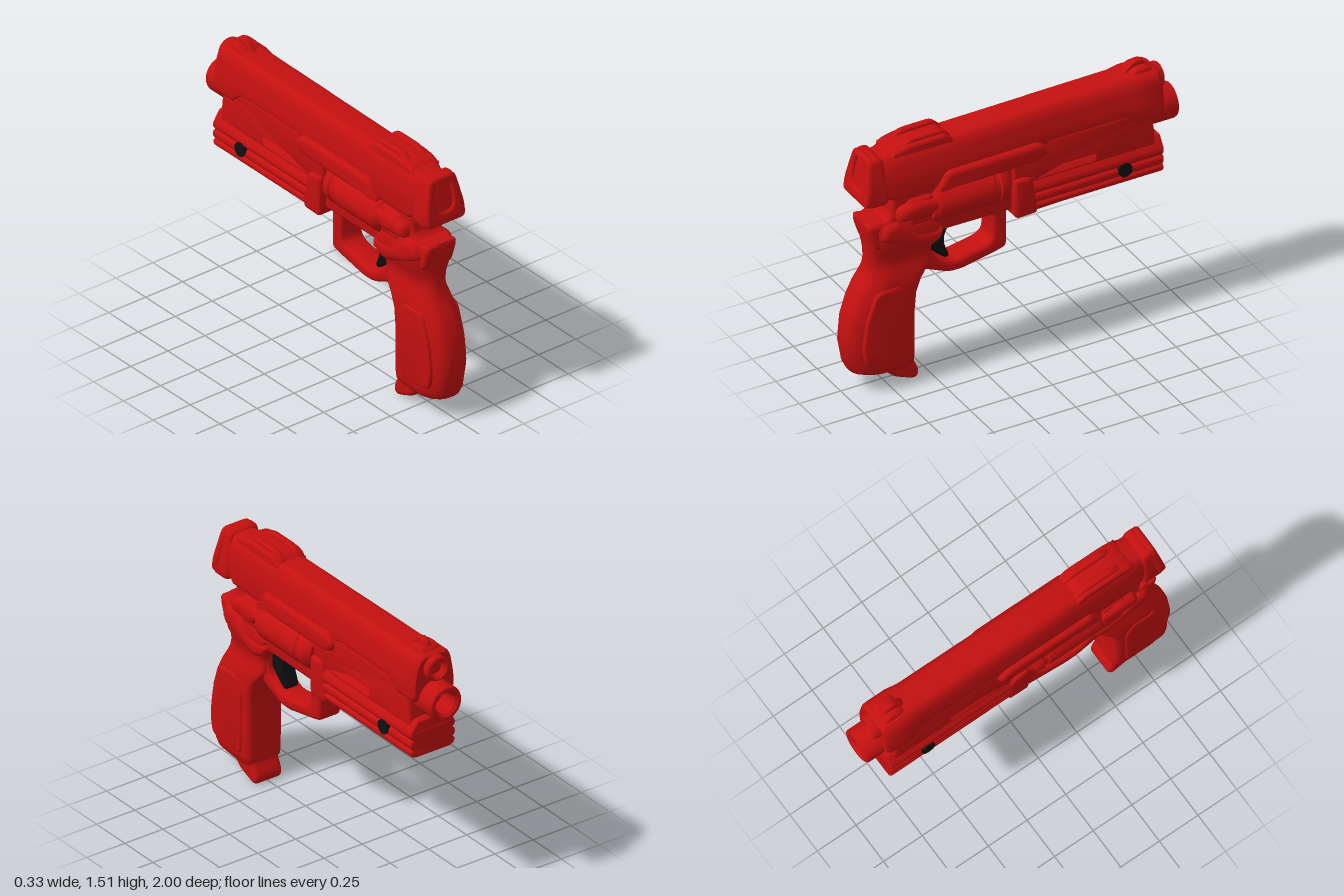
import * as THREE from 'three';
import { toCreasedNormals } from 'three/addons/utils/BufferGeometryUtils.js';

const red = new THREE.MeshStandardMaterial({ color: 0xc41010 });
const black = new THREE.MeshStandardMaterial({ color: 0x101010 });

// Round every corner of a closed polygon; each corner gives n + 1 points
function rounded(pts, r, n = 4) {
  const out = [];
  const P = pts.map(p => new THREE.Vector2(p[0], p[1]));
  P.forEach((p, i) => {
    const toward = q => {
      const d = q.clone().sub(p);
      return p.clone().addScaledVector(d, Math.min(r / d.length(), 0.45));
    };
    const a = toward(P[(i + P.length - 1) % P.length]);
    const b = toward(P[(i + 1) % P.length]);
    out.push(...new THREE.QuadraticBezierCurve(a, p, b).getPoints(n));
  });
  return out;
}

function extrude(pts, depth, bevel, r, hole, holeR = r) {
  const shape = new THREE.Shape(rounded(pts, r));
  if (hole) shape.holes.push(new THREE.Path(rounded(hole, holeR)));
  return new THREE.ExtrudeGeometry(shape, {
    depth: depth - 2 * bevel, bevelEnabled: true, bevelSize: bevel, bevelThickness: bevel,
    bevelOffset: -bevel, bevelSegments: 4,
  }).translate(0, 0, bevel);
}

// Side profile in (z, y), centred across x
function side(pts, half, bevel = 0.025, r = 0.03, hole, holeR) {
  return extrude(pts, half * 2, bevel, r, hole, holeR).translate(0, 0, -half).rotateY(-Math.PI / 2);
}

// Skin rings of equal point count; each station is [z, ring], z rising
function loft(stations) {
  const n = stations[0][1].length, pos = [], idx = [];
  for (const [z, ring] of stations) for (const p of ring) pos.push(p.x, p.y, z);
  for (let i = 0; i < stations.length - 1; i++) for (let j = 0; j < n; j++) {
    const a = i * n + j, b = i * n + (j + 1) % n;
    idx.push(a, b, b + n, a, b + n, a + n);
  }
  [0, stations.length - 1].forEach((s, end) => {
    const [z, ring] = stations[s], c = pos.length / 3, m = new THREE.Vector2();
    ring.forEach(p => m.addScaledVector(p, 1 / n));
    pos.push(m.x, m.y, z);
    for (let j = 0; j < n; j++) {
      const a = s * n + j, b = s * n + (j + 1) % n;
      idx.push(c, ...(end ? [a, b] : [b, a]));
    }
  });
  const g = new THREE.BufferGeometry();
  g.setAttribute('position', new THREE.Float32BufferAttribute(pos, 3));
  g.setIndex(idx);
  return g;
}

// Hollow tube pointing to -z
function tube(r, inner, z0, z1, y, floor) {
  const L = z0 - z1, b = 0.015;
  const p = [[r, 0], [r, L - b], [r - b * 0.3, L - b * 0.3], [r - b, L], [inner + b, L],
    [inner, L - b], [inner * 0.9, floor], [0, floor]].map(q => new THREE.Vector2(...q));
  return new THREE.LatheGeometry(p, 40).rotateX(-Math.PI / 2).translate(0, y, z0);
}

export function createModel() {
  const model = new THREE.Group();
  const add = (name, geo, mat = red) => {
    const m = new THREE.Mesh(toCreasedNormals(geo, 0.65), mat);
    m.name = name;
    model.add(m);
    return m;
  };

  // Slide: [z, half width, bottom, top]
  const slide = [
    [-0.89, 0.125, 1.215, 1.455], [-0.87, 0.138, 1.2, 1.468], [-0.73, 0.138, 1.2, 1.468],
    [-0.66, 0.127, 1.255, 1.46], [-0.2, 0.125, 1.255, 1.457], [-0.13, 0.125, 1.18, 1.455],
    [0.73, 0.125, 1.17, 1.447], [0.76, 0.115, 1.18, 1.435], [0.82, 0.108, 1.19, 1.43],
  ].map(([z, w, b, t]) => [z, rounded([[-w, b], [w, b], [w, 1.3], [w * 0.85, t - 0.05],
    [w * 0.6, t], [-w * 0.6, t], [-w * 0.85, t - 0.05], [-w, 1.3]], 0.03)]);
  add('slide', loft(slide));

  // Sights
  add('frontSightBase', side([[-0.88, 1.42], [-0.7, 1.44], [-0.74, 1.48], [-0.78, 1.495], [-0.85, 1.49]], 0.065, 0.02));
  add('frontSight', side([[-0.86, 1.44], [-0.68, 1.44], [-0.74, 1.5], [-0.78, 1.525], [-0.83, 1.515]], 0.022, 0.01));
  add('rearSightBase', side([[0.35, 1.42], [0.75, 1.42], [0.72, 1.455], [0.64, 1.475], [0.41, 1.478]], 0.095, 0.02));
  for (const s of [-1, 1])
    add('rearSightRail', side([[0.36, 1.44], [0.7, 1.44], [0.64, 1.485], [0.6, 1.498], [0.42, 1.498]], 0.02, 0.012)
      .translate(s * 0.052, 0, 0));

  // Rear block, tapering upward, with a recessed oval on its back
  const block = side([[0.77, 1.19], [0.79, 1.17], [0.9, 1.17], [0.9, 1.23], [0.86, 1.45], [0.79, 1.445]], 0.13);
  const bp = block.attributes.position;
  for (let i = 0; i < bp.count; i++)
    bp.setX(i, bp.getX(i) * (1 - 0.32 * THREE.MathUtils.clamp((bp.getY(i) - 1.26) / 0.19, 0, 1)));
  add('rearBlock', block);
  const plate = add('rearPlate', extrude(
    [[-0.13, 0], [0.13, 0], [0.13, 0.09], [0.088, 0.275], [-0.088, 0.275], [-0.13, 0.09]], 0.05, 0.018, 0.035,
    [[-0.058, 0.07], [0.058, 0.07], [0.052, 0.245], [-0.052, 0.245]], 0.055));
  plate.position.set(0, 1.172, 0.872);
  plate.rotation.x = -0.16;

  // Barrels
  add('upperBarrel', tube(0.073, 0.045, -0.8, -0.93, 1.385, 0.095));
  add('muzzle', tube(0.102, 0.062, -0.78, -1, 1.205, 0.1));

  // Frame core and slotted side plates
  add('frame', side([[0.88, 1.045], [0.79, 1.03], [0.745, 1.07], [0.74, 1.22], [-0.8, 1.27], [-0.83, 1.05],
    [-0.8, 0.95], [0, 0.88], [0.45, 0.885], [0.5, 0.8], [0.84, 0.88], [0.88, 1]], 0.1));
  add('slottedPlate', side([[0.02, 1], [-0.85, 1], [-0.84, 1.08], [-0.82, 1.27], [0.02, 1.27]], 0.125, 0.02, 0.02,
    [[-0.09, 1.03], [-0.5, 1.03], [-0.5, 1.125], [-0.09, 1.125]], 0.04));
  add('slidePanel', side([[0.5, 1.16], [0.48, 1.2], [0.43, 1.275], [-0.13, 1.28], [-0.18, 1.24],
    [-0.17, 1.19], [-0.11, 1.165]], 0.155, 0.03));

  // Drum with end collars
  const drum = [[0, 0], [0.14, 0], [0.16, 0.02], [0.165, 0.04], [0.165, 0.36], [0.155, 0.37], [0.155, 0.39],
    [0.165, 0.4], [0.16, 0.44], [0.13, 0.47], [0, 0.47]].map(p => new THREE.Vector2(...p));
  add('drum', new THREE.LatheGeometry(drum, 48).rotateX(-Math.PI / 2).scale(1, 0.8, 1).translate(0, 1.06, 0.505));

  // Thumb levers and the swept shoulder above the grip
  add('thumbLever', side([[0.73, 1.04], [0.72, 1.12], [0.62, 1.14], [0.47, 1.12], [0.46, 1.07], [0.54, 1.02], [0.62, 1.03]], 0.155, 0.04));
  add('leverPivot', side([[0.66, 1.15], [0.5, 1.15], [0.5, 0.98], [0.66, 0.98]], 0.125, 0.03));
  add('shoulder', side([[0.83, 0.95], [0.76, 0.9], [0.54, 0.82], [0.46, 0.85], [0.43, 0.92], [0.6, 0.95], [0.72, 1.04], [0.8, 1.03]], 0.138, 0.045));

  // Lower rail with three ridges per side
  const half = [[0.11, 0.86], [0.14, 0.872], [0.147, 0.9], [0.128, 0.912], [0.147, 0.925], [0.147, 0.958],
    [0.128, 0.97], [0.147, 0.983], [0.147, 1.01], [0.12, 1.05], [0.1, 1.08]];
  const ridges = [...half, ...half.map(([x, y]) => [-x, y]).reverse()];
  add('lowerRail', extrude(ridges, 0.83, 0.012, 0.012).translate(0, 0, -0.88));
  add('railRearBlock', side([[0.02, 0.845], [0.02, 1.09], [-0.08, 1.08], [-0.1, 1.02], [-0.12, 0.85]], 0.147, 0.02));
  add('railUnderside', side([[0.01, 0.845], [0, 0.92], [-0.87, 0.92], [-0.88, 0.868], [-0.5, 0.86]], 0.125, 0.02));
  add('railFrontRamp', side([[-0.7, 1], [-0.7, 1.09], [-0.8, 1.085], [-0.84, 1.04], [-0.885, 1.02], [-0.88, 0.99]], 0.125, 0.02));
  add('railKnob', new THREE.CylinderGeometry(0.041, 0.041, 0.314, 28).rotateZ(Math.PI / 2).translate(0, 0.955, -0.64), black);

  // Trigger and guard
  add('triggerGuard', side([[0.03, 0.92], [0.03, 0.65], [0.07, 0.635], [0.3, 0.588], [0.38, 0.59], [0.54, 0.66],
    [0.6, 0.8], [0.52, 0.92]], 0.075, 0.025, 0.03,
  [[0.115, 0.885], [0.115, 0.72], [0.16, 0.69], [0.36, 0.655], [0.43, 0.69], [0.485, 0.74], [0.48, 0.86], [0.42, 0.885]], 0.035));
  add('trigger', side([[0.5, 0.89], [0.34, 0.89], [0.39, 0.83], [0.395, 0.76], [0.36, 0.68], [0.385, 0.665], [0.46, 0.73], [0.5, 0.77]], 0.045, 0.015), black);

  // Grip: [y, back z, front z, half width]
  const grip = [
    [0.1, 0.9, 0.61, 0.09], [0.13, 0.955, 0.6, 0.112], [0.17, 0.975, 0.6, 0.118], [0.3, 0.998, 0.6, 0.12],
    [0.45, 0.985, 0.6, 0.12], [0.56, 0.95, 0.59, 0.12], [0.64, 0.91, 0.56, 0.119], [0.69, 0.88, 0.52, 0.11],
    [0.74, 0.86, 0.49, 0.093], [0.78, 0.855, 0.49, 0.087], [0.83, 0.852, 0.48, 0.1], [0.88, 0.855, 0.46, 0.125],
    [0.94, 0.868, 0.45, 0.13], [1, 0.882, 0.5, 0.12], [1.04, 0.878, 0.55, 0.1],
  ].map(([y, b, f, w]) => [y, rounded([[-w * 0.55, -b], [w * 0.55, -b], [w, -b + 0.09], [w, -f - 0.03],
    [w * 0.8, -f], [-w * 0.8, -f], [-w, -f - 0.03], [-w, -b + 0.09]], 0.05)]);
  add('grip', loft(grip).rotateX(-Math.PI / 2));
  add('gripPanel', side([[0.66, 0.17], [0.91, 0.19], [0.93, 0.3], [0.91, 0.46], [0.85, 0.63], [0.7, 0.64], [0.65, 0.55]], 0.128, 0.015, 0.04));
  add('gripToe', side([[0.95, 0.135], [0.78, 0.11], [0.72, 0.05], [0.6, 0.003], [0.572, 0.02], [0.57, 0.06],
    [0.6, 0.12], [0.62, 0.2], [0.9, 0.2]], 0.09, 0.025));

  return model;
}
